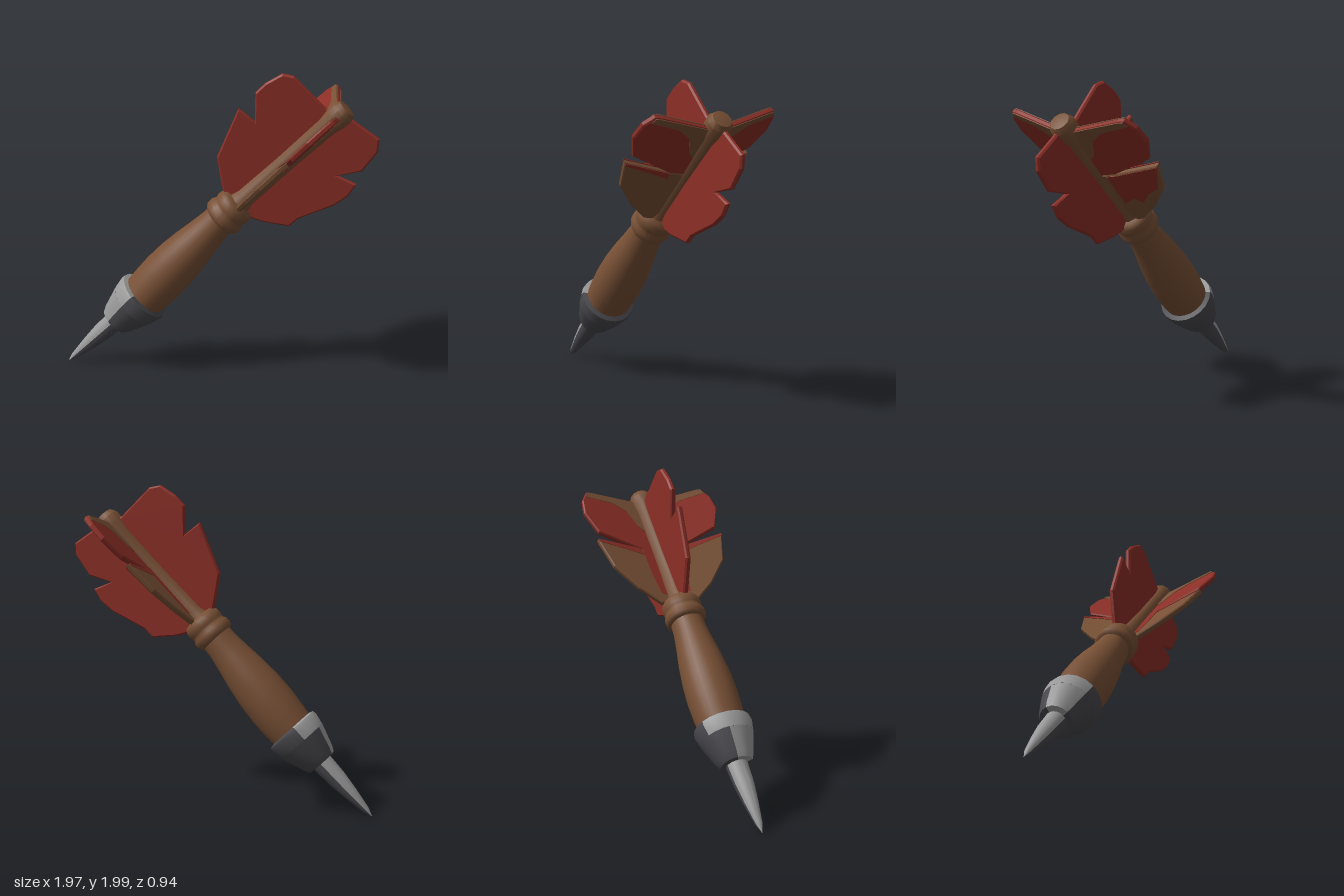
import * as THREE from 'three';
import { toCreasedNormals } from 'three/addons/utils/BufferGeometryUtils.js';

const mat = (name, color) => {
  const m = new THREE.MeshStandardMaterial({ color });
  m.name = name;
  return m;
};

export function createModel() {
  const wood = mat('brown wood', 0x785035);
  const red = mat('red paint', 0x8c2e26);
  const steel = mat('dark steel', 0x48484d);
  const bright = mat('worn steel', 0x9a9a9a);

  const model = new THREE.Group();
  model.name = 'dart';

  // The dart is built upright from its tip, then leaned over
  const dart = new THREE.Group();
  dart.name = 'shaftAssembly';
  dart.position.set(-0.98, 0.01, 0);
  dart.rotation.z = -THREE.MathUtils.degToRad(44.6);
  model.add(dart);

  const add = (parent, name, geometry, material) => {
    const mesh = new THREE.Mesh(geometry, material);
    mesh.name = name;
    parent.add(mesh);
  };

  // Slight hand-carved bow of the centre line: [height, sideways shift]
  const bow = [[0, 0], [0.45, 0.01], [0.73, 0.015], [1.47, -0.02], [1.62, -0.018], [2.52, 0]];
  const bowAt = (t) => {
    for (let i = 1; i < bow.length; i++) {
      const [a, p] = bow[i - 1], [b, q] = bow[i];
      if (t <= b) return p + (q - p) * (t - a) / (b - a);
    }
    return 0;
  };

  // Turned part; from/to are angles in units of pi
  const turned = (name, material, profile, { from = 0, to = 2, sides = 20, crease = 0.6 } = {}) => {
    const points = profile.map(([r, t]) => new THREE.Vector2(r, t));
    const n = Math.max(3, Math.round(sides * (to - from) / 2));
    const g = new THREE.LatheGeometry(points, n, from * Math.PI, (to - from) * Math.PI);
    const p = g.attributes.position;
    for (let i = 0; i < p.count; i++) p.setX(i, p.getX(i) + bowAt(p.getY(i)));
    add(dart, name, toCreasedNormals(g, crease), material);
  };

  // Steel point, worn bright along the upper side
  const spike = [[0, 0], [0.022, 0.06], [0.045, 0.2], [0.06, 0.32], [0.068, 0.48]];
  turned('spikeWorn', bright, spike, { from: 1.06, to: 1.94 });
  turned('spike', steel, spike, { from: -0.06, to: 1.06 });

  // Steel socket with a worn patch and rim
  const cone = [[0.05, 0.45], [0.1, 0.455], [0.118, 0.49], [0.165, 0.63]];
  const rim = [[0.165, 0.63], [0.18, 0.7], [0.176, 0.725], [0.145, 0.735]];
  turned('socketWorn', bright, cone, { from: 1.42, to: 1.86 });
  turned('socket', steel, cone, { from: -0.14, to: 1.42 });
  turned('socketRimWorn', bright, rim, { from: 1.15, to: 1.86 });
  turned('socketRim', steel, rim, { from: -0.14, to: 1.15 });

  // Wooden barrel, double-ringed collar and rear shaft
  turned('barrel', wood, [[0.143, 0.7], [0.152, 0.8], [0.157, 0.92], [0.152, 1.05], [0.138, 1.18],
    [0.119, 1.3], [0.106, 1.4], [0.102, 1.5]], { sides: 28 });
  turned('collar', wood, [[0.095, 1.455], [0.118, 1.46], [0.13, 1.48], [0.13, 1.515], [0.118, 1.535],
    [0.12, 1.55], [0.125, 1.565], [0.122, 1.6], [0.105, 1.625], [0.06, 1.635]], { sides: 24, crease: 0.9 });
  turned('rearShaft', wood, [[0.085, 1.6], [0.064, 1.68], [0.06, 2.0], [0.066, 2.36], [0.078, 2.42],
    [0.079, 2.48], [0.06, 2.515], [0, 2.525]], { sides: 12, crease: 0.7 });

  // Flat plate cut from an outline, centred on its own thickness
  const plate = (outline, depth, bevel) => {
    const shape = new THREE.Shape(outline.map(([x, y]) => new THREE.Vector2(x, y)));
    const g = new THREE.ExtrudeGeometry(shape, {
      depth: depth - 2 * bevel, bevelEnabled: bevel > 0, bevelThickness: bevel,
      bevelSize: bevel, bevelOffset: -bevel, bevelSegments: 1,
    });
    return g.translate(0, 0, bevel - depth / 2);
  };

  // Upper and lower red vanes, with torn notches
  add(model, 'upperVane', plate([[0.06, 1.2], [0.035, 1.32], [0.01, 1.47], [0.14, 1.78], [0.24, 1.7],
    [0.24, 1.88], [0.3, 1.94], [0.4, 2.0], [0.47, 1.985], [0.66, 1.8], [0.72, 1.78], [0.7, 1.7],
    [0.16, 1.18]], 0.036, 0.01), red);
  add(model, 'lowerVane', plate([[0.16, 1.16], [0.2, 1.09], [0.3, 1.06], [0.46, 1.04], [0.51, 1.09],
    [0.73, 1.19], [0.81, 1.25], [0.86, 1.33], [0.74, 1.38], [0.89, 1.415], [0.98, 1.54],
    [0.985, 1.62], [0.81, 1.74], [0.72, 1.72]], 0.036, 0.01), red);

  // Side vanes: outlines run [distance from axis, height]
  const lobe = [[0.03, 1.61], [0.12, 1.62], [0.25, 1.73], [0.38, 1.89], [0.435, 2.1], [0.14, 2.05], [0.03, 2.05]];
  const tail = [[0.03, 2.05], [0.14, 2.05], [0.41, 2.16], [0.47, 2.31], [0.455, 2.42], [0.41, 2.49],
    [0.37, 2.49], [0.07, 2.45], [0.03, 2.45]];
  const slitEdge = [[0.13, 2.0], [0.25, 2.035], [0.43, 2.08], [0.43, 2.1], [0.14, 2.05]];
  const rootStripe = [[0.06, 1.68], [0.1, 1.7], [0.12, 1.82], [0.13, 2.06], [0.06, 2.06]];
  const tailEdge = [[0.06, 2.2], [0.1, 2.24], [0.15, 2.36], [0.24, 2.42], [0.42, 2.45], [0.405, 2.487],
    [0.37, 2.487], [0.06, 2.447]];
  const lobePaint = [[0.08, 1.78], [0.16, 1.83], [0.2, 1.78], [0.27, 1.86], [0.35, 1.9], [0.41, 2.04],
    [0.43, 2.09], [0.14, 2.04], [0.08, 2.04]];

  for (const side of [1, -1]) {
    const label = side > 0 ? 'left' : 'right';
    const vane = (name, outline, material, depth, bevel, shift = 0) => {
      const g = plate(outline, depth, bevel).rotateY(-side * Math.PI / 2);
      const p = g.attributes.position;
      // sweep the vane upward toward its outer edge
      for (let i = 0; i < p.count; i++) {
        p.setX(i, p.getX(i) + shift + 0.014 - 0.2 * Math.abs(p.getZ(i)));
      }
      g.computeVertexNormals();
      add(dart, label + name, g, material);
    };
    vane('VaneFront', lobe, wood, 0.036, 0.008);
    vane('VaneTail', tail, red, 0.036, 0.008);
    // thin paint on the upper (-1) and lower (+1) faces
    for (const face of [-1, 1]) {
      const paint = (name, outline, material) => vane(name, outline, material, 0.005, 0, face * 0.0185);
      paint('TailBareEdge', tailEdge, wood);
      if (face > 0 && side < 0) paint('FrontPaint', lobePaint, red);
      else paint('SlitPaint', slitEdge, red);
      if (face < 0) paint('RootPaint', rootStripe, red);
    }
  }
  return model;
}
